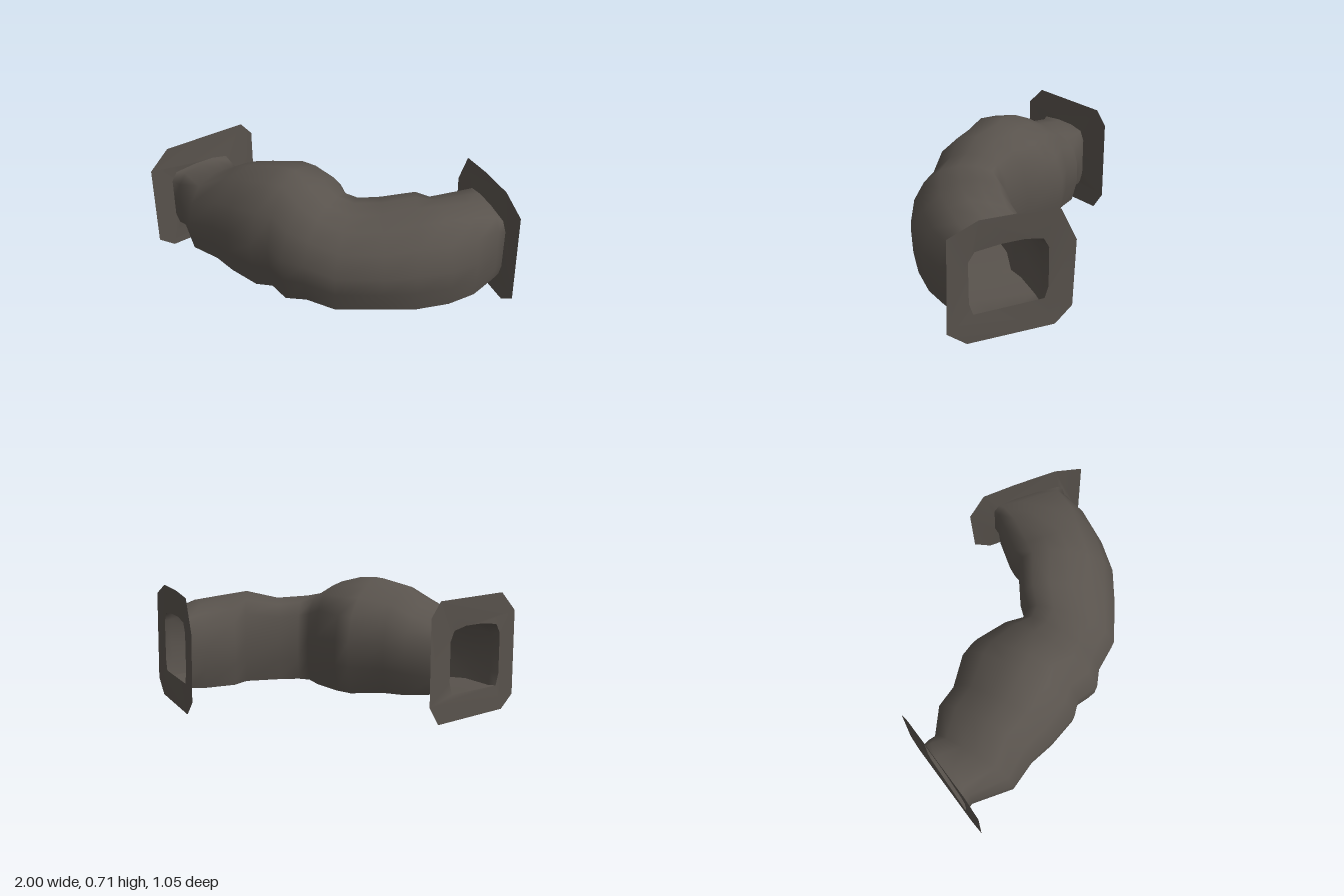
import * as THREE from 'three';

const rock = new THREE.MeshStandardMaterial({ color: 0x59534d, side: THREE.DoubleSide });
rock.name = 'dark rock';

// Stations along the bend: back x, back z, front x, front z, floor y, roof y,
// and shape (0 is the arch, 1 the square mouth, -1 a roof that slopes to the front)
const stations = [
  [-0.762, -0.15, -0.945, 0.18, 0.15, 0.505, 1],
  [-0.73, -0.15, -0.9, 0.19, 0.15, 0.505, 0.7],
  [-0.68, -0.14, -0.735, 0.355, 0.145, 0.52, 0.2],
  [-0.53, -0.19, -0.57, 0.385, 0.14, 0.61, 0],
  [-0.41, -0.165, -0.44, 0.44, 0.135, 0.67, 0],
  [-0.23, -0.2, -0.27, 0.485, 0.125, 0.71, 0],
  [-0.15, -0.185, -0.18, 0.465, 0.13, 0.705, 0],
  [0, -0.08, -0.07, 0.525, 0.13, 0.675, -0.5],
  [0.08, 0, 0.04, 0.49, 0.135, 0.61, -0.8],
  [0.14, 0, 0.22, 0.5, 0.135, 0.585, -1],
  [0.22, -0.07, 0.45, 0.4, 0.14, 0.575, -1],
  [0.38, -0.16, 0.6, 0.32, 0.135, 0.615, -0.8],
  [0.41, -0.23, 0.74, 0.19, 0.125, 0.595, -0.2],
  [0.53, -0.35, 0.83, 0.055, 0.12, 0.575, 0.3],
  [0.595, -0.395, 0.88, -0.11, 0.12, 0.53, 0.8],
  [0.608, -0.425, 0.905, -0.135, 0.15, 0.505, 1],
];

// Section outlines (across, height) from the back foot over the roof to the front foot
const arch = [[0.05, 0], [0, 0.25], [0, 0.48], [0.06, 0.7], [0.2, 0.85], [0.38, 0.94],
  [0.54, 1], [0.74, 0.96], [0.91, 0.75], [1, 0.48], [0.99, 0.25], [0.95, 0]];
const square = [[0.05, 0.02], [0, 0.2], [0, 0.5], [0, 0.8], [0.07, 0.95], [0.3, 1],
  [0.6, 1], [0.92, 0.96], [1, 0.82], [1, 0.5], [1, 0.2], [0.95, 0.02]];
const slope = [[0.04, 0], [0, 0.25], [0, 0.5], [0.03, 0.8], [0.12, 0.95], [0.3, 1],
  [0.5, 0.98], [0.7, 0.9], [0.88, 0.73], [1, 0.48], [0.99, 0.25], [0.95, 0]];

const lerp = THREE.MathUtils.lerp;

function wallPoints([bx, bz, fx, fz, y0, y1, w]) {
  const to = w < 0 ? slope : square;
  return arch.map(([u, v], j) => {
    const a = lerp(u, to[j][0], Math.abs(w)), h = lerp(v, to[j][1], Math.abs(w));
    return new THREE.Vector3(lerp(bx, fx, a), lerp(y0, y1, h), lerp(bz, fz, a));
  });
}

// Floor points run from the front foot of the wall to its back foot
function floorPoints(wall) {
  return [0, 1 / 3, 2 / 3, 1].map((t) => wall[wall.length - 1].clone().lerp(wall[0], t));
}

function rockMesh(name, points, index) {
  const geo = new THREE.BufferGeometry().setFromPoints(points);
  geo.setIndex(index);
  geo.computeVertexNormals();
  const mesh = new THREE.Mesh(geo, rock);
  mesh.name = name;
  return mesh;
}

// Skin a strip across all the stations
function loft(name, rows) {
  const n = rows[0].length, index = [];
  for (let i = 0; i < rows.length - 1; i++) {
    for (let j = 0; j < n - 1; j++) {
      const a = i * n + j, c = a + n;
      index.push(a, a + 1, c, a + 1, c + 1, c);
    }
  }
  return rockMesh(name, rows.flat(), index);
}

// Upright collar: outline in (z, y) with x on the line from A to B, dished in to the tunnel mouth
function collar(name, [ax, az], [bx, bz], outline, mouth) {
  const flat = (p) => new THREE.Vector2(p.z, p.y);
  const rim = outline.map(([z, y]) => new THREE.Vector3(lerp(ax, bx, (z - az) / (bz - az)), y, z));
  const faces = THREE.ShapeUtils.triangulateShape(rim.map(flat), [mouth.map(flat)]);
  return rockMesh(name, [...rim, ...mouth], faces.flat());
}

export function createModel() {
  const model = new THREE.Group();
  model.name = 'bent cave tunnel';

  // Hollow passage: arched walls and a flat floor
  const walls = stations.map(wallPoints);
  model.add(loft('tunnelWalls', walls), loft('tunnelFloor', walls.map(floorPoints)));

  // Collars around the two openings
  model.add(collar('rightCollar', [-0.7, -0.3], [-1, 0.29],
    [[0.29, 0.09], [0.29, 0.55], [0.19, 0.655], [-0.24, 0.65], [-0.3, 0.57],
      [-0.3, 0.12], [-0.24, 0.02], [0.21, 0.02]], walls[0]));
  model.add(collar('leftCollar', [0.51, -0.53], [1, -0.06],
    [[-0.06, 0.09], [-0.07, 0.59], [-0.18, 0.655], [-0.34, 0.65], [-0.47, 0.63],
      [-0.53, 0.45], [-0.52, 0.085], [-0.455, 0], [-0.13, 0.01]], walls[walls.length - 1]));

  return model;
}
